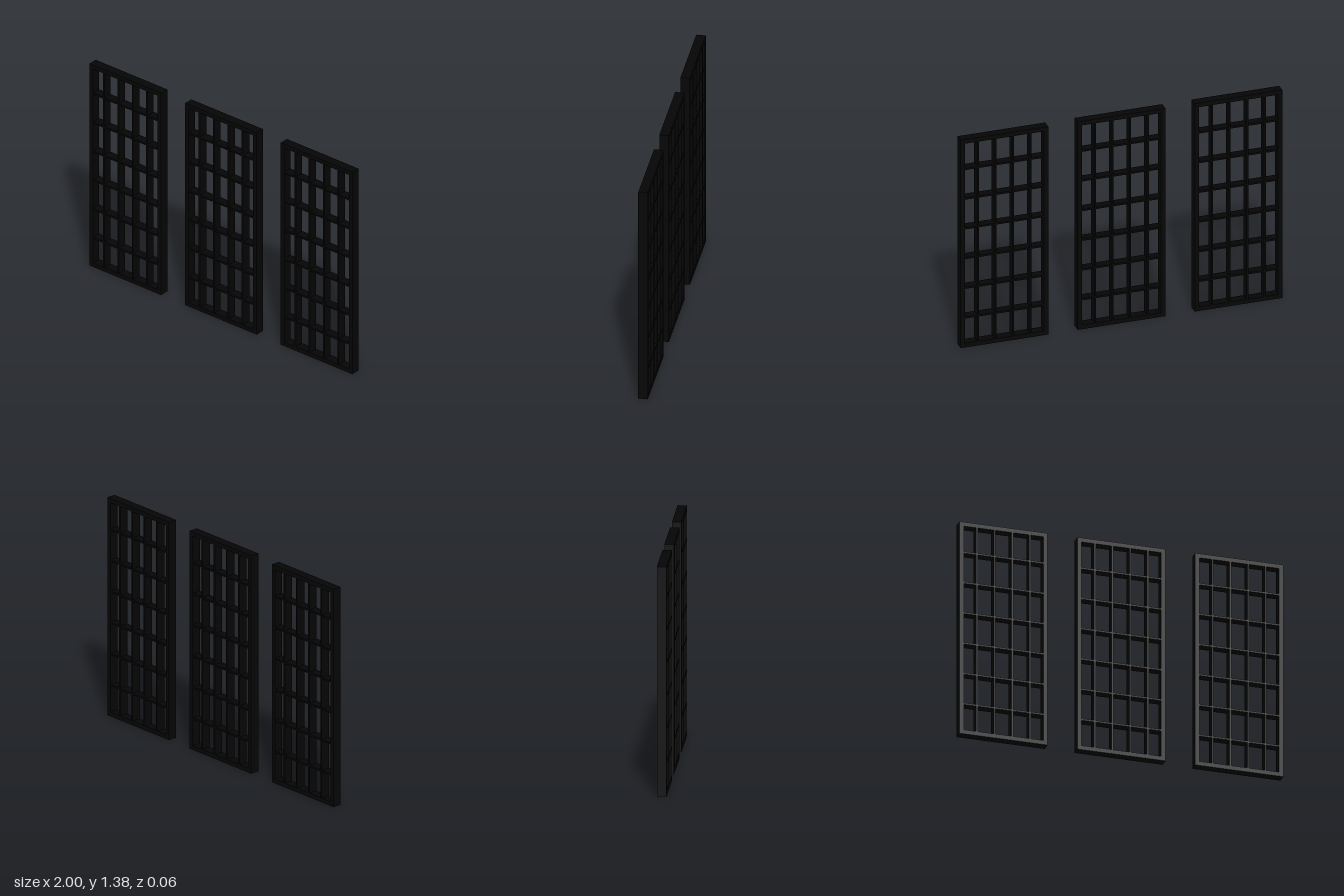
import * as THREE from 'three';

const W = 0.545, H = 1.375, D = 0.057; // panel size
const RIM = 0.027, BAR = 0.011;        // frame and bar widths
const COLS = 5, ROWS = 7;

function rect(target, x0, y0, x1, y1) {
  target.moveTo(x0, y0);
  target.lineTo(x1, y0);
  target.lineTo(x1, y1);
  target.lineTo(x0, y1);
  target.closePath();
  return target;
}

export function createModel() {
  const model = new THREE.Group();
  model.name = 'latticePanels';
  const material = new THREE.MeshStandardMaterial({ color: 0x050505 });

  // Outer frame: a rectangle with a rectangular opening
  const outline = rect(new THREE.Shape(), -W / 2, 0, W / 2, H);
  outline.holes.push(rect(new THREE.Path(), -W / 2 + RIM, RIM, W / 2 - RIM, H - RIM));
  const frameGeometry = new THREE.ExtrudeGeometry(outline, { depth: D, bevelEnabled: false });
  frameGeometry.translate(0, 0, -D / 2);

  // Lattice bars span the opening; crossbars are a hair shallower
  const uprightGeometry = new THREE.BoxGeometry(BAR, H - 2 * RIM, D);
  const crossbarGeometry = new THREE.BoxGeometry(W - 2 * RIM, BAR, D - 0.001);

  const add = (parent, geometry, name, x, y) => {
    const mesh = new THREE.Mesh(geometry, material);
    mesh.name = name;
    mesh.position.set(x, y, 0);
    parent.add(mesh);
  };

  // Three identical panels in a row
  ['rightPanel', 'middlePanel', 'leftPanel'].forEach((name, i) => {
    const panel = new THREE.Group();
    panel.name = name;
    panel.position.x = (i - 1) * (1 - W / 2);
    add(panel, frameGeometry, 'frame', 0, 0);
    for (let c = 1; c < COLS; c++) add(panel, uprightGeometry, 'uprightBar', (c / COLS - 0.5) * W, H / 2);
    for (let r = 1; r < ROWS; r++) add(panel, crossbarGeometry, 'crossbar', 0, (r / ROWS) * H);
    model.add(panel);
  });

  return model;
}
